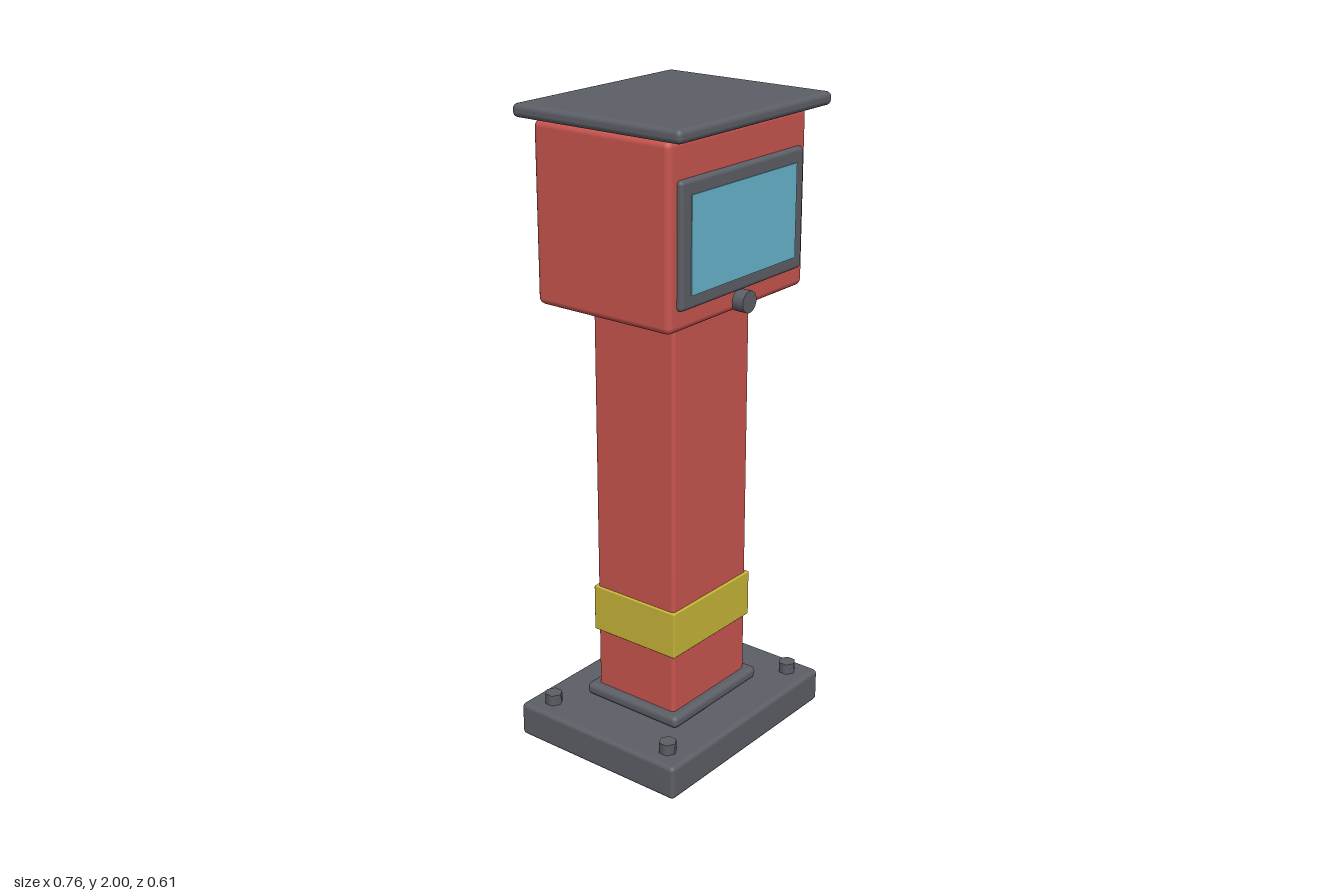
import * as THREE from 'three';
import { RoundedBoxGeometry } from 'three/addons/geometries/RoundedBoxGeometry.js';

const material = (name, color) => {
  const m = new THREE.MeshStandardMaterial({ color });
  m.name = name;
  return m;
};

export function createModel() {
  const red = material('red paint', 0xc9554e);
  const grey = material('dark grey metal', 0x5c5f66);
  const yellow = material('yellow band', 0xc8b438);
  const blue = material('blue glass', 0x69b5cc);
  const model = new THREE.Group();
  model.name = 'kioskPost';

  const add = (name, geometry, mat, x, y, z) => {
    const mesh = new THREE.Mesh(geometry, mat);
    mesh.name = name;
    mesh.position.set(x, y, z);
    model.add(mesh);
    return mesh;
  };
  // Softly bevelled block given by its width, depth, bottom and top
  const block = (name, mat, w, d, y0, y1, radius, z = 0) =>
    add(name, new RoundedBoxGeometry(w, y1 - y0, d, 2, radius), mat, 0, (y0 + y1) / 2, z);

  // Foot, collar and column
  block('basePlate', grey, 0.76, 0.61, 0, 0.11, 0.014);
  block('collar', grey, 0.42, 0.36, 0.113, 0.153, 0.016);
  block('column', red, 0.364, 0.3, 0.1, 1.42, 0.012);
  block('warningBand', yellow, 0.38, 0.316, 0.345, 0.495, 0.004);

  // Hexagonal anchor bolts
  for (const x of [-0.31, 0.31])
    for (const z of [-0.23, 0.23])
      add('anchorBolt', new THREE.CylinderGeometry(0.028, 0.028, 0.045, 6), grey, x, 0.1225, z);

  // Head and overhanging roof
  block('head', red, 0.636, 0.486, 1.422, 1.956, 0.02);
  block('roof', grey, 0.705, 0.595, 1.96, 2, 0.016, 0.009);

  // Display: bezel and glass
  block('screenFrame', grey, 0.57, 0.04, 1.485, 1.847, 0.012, 0.24);
  add('screen', new THREE.BoxGeometry(0.488, 0.28, 0.008), blue, 0, 1.665, 0.259);

  // Round push button below the display
  const button = add('button', new THREE.CylinderGeometry(0.033, 0.033, 0.042, 20), grey, 0, 1.452, 0.259);
  button.rotation.x = Math.PI / 2;

  return model;
}
